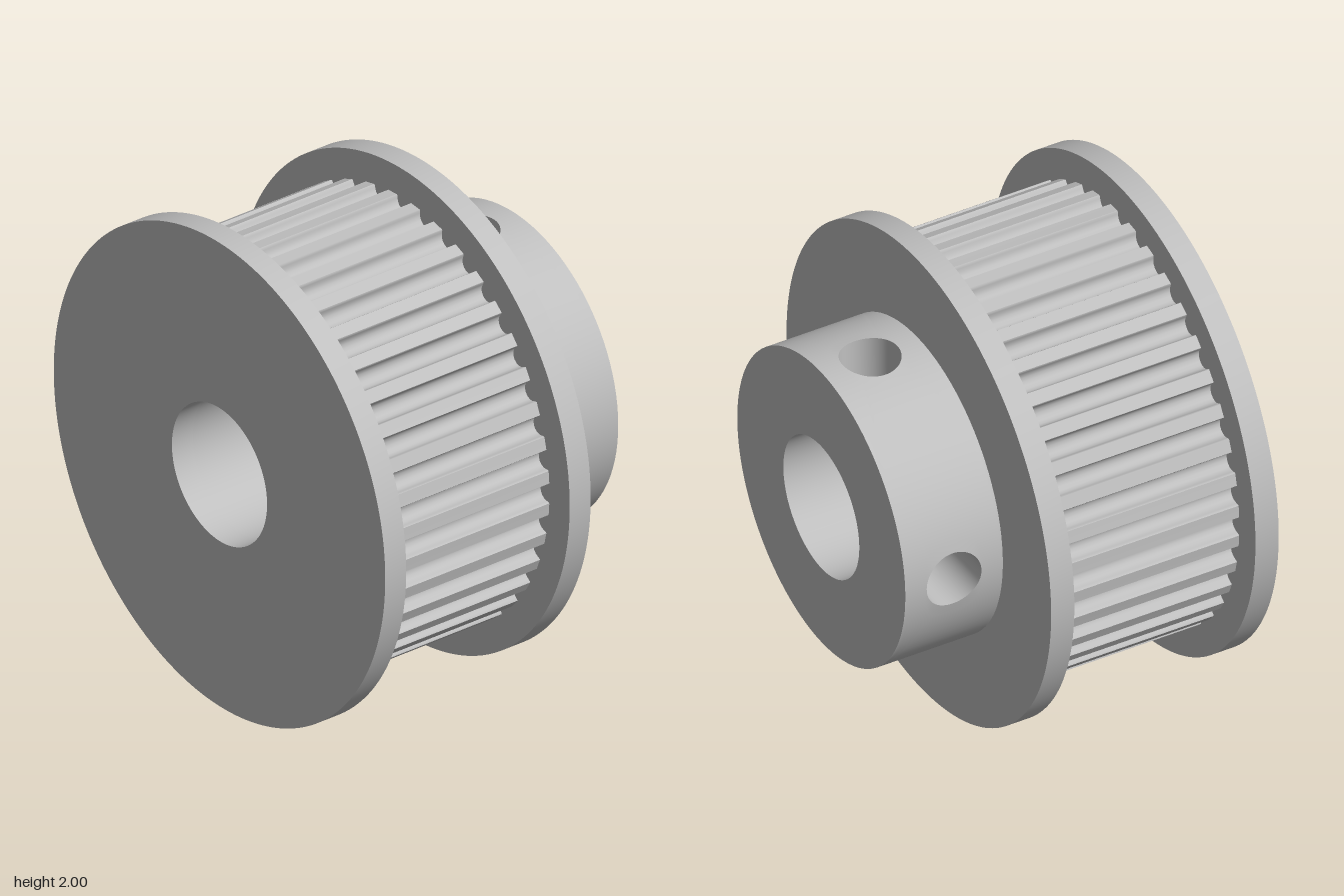
import * as THREE from 'three';
import { mergeGeometries, toCreasedNormals } from 'three/addons/utils/BufferGeometryUtils.js';

const BORE = 0.287, FLANGE = 1, HUB = 0.635, TIP = 0.877;
const HUB_MID = 0.49, HUB_HALF = 0.21, SCREW = 0.118;
const TEETH = 40, SEG = 24; // SEG = segments per quarter turn

// Scaled up while creasing so that fine tooth corners are not welded together
function crease(geometry, angle) {
  geometry.scale(100, 100, 100);
  return toCreasedNormals(geometry, angle).scale(0.01, 0.01, 0.01);
}

// Disc with the shaft bore, extruded along x from x0 to x1
function boredDisc(shape, x0, x1, angle) {
  const bore = new THREE.Path();
  bore.absarc(0, 0, BORE, 0, Math.PI * 2, true);
  shape.holes.push(bore);
  const g = new THREE.ExtrudeGeometry(shape, { depth: x1 - x0, bevelEnabled: false, curveSegments: SEG * 4 });
  g.rotateY(Math.PI / 2).translate(x0, 0, 0);
  return crease(g, angle);
}

function flangeShape() {
  const s = new THREE.Shape();
  s.absarc(0, 0, FLANGE, 0, Math.PI * 2, false);
  return s;
}

// Belt profile: narrow lands between round-bottomed grooves
function toothShape() {
  const groove = [[-0.043, TIP], [-0.0405, 0.873], [-0.039, 0.863]];
  for (let i = 1; i < 8; i++) {
    const a = Math.PI * i / 8;
    groove.push([-0.039 * Math.cos(a), 0.863 - 0.039 * Math.sin(a)]);
  }
  groove.push([0.039, 0.863], [0.0405, 0.873], [0.043, TIP], [0.0687, 0.8748]);
  const pts = [];
  for (let k = 0; k < TEETH; k++) {
    const a = k * Math.PI * 2 / TEETH, c = Math.cos(a), s = Math.sin(a);
    for (const [t, r] of groove) pts.push(new THREE.Vector2(r * c - t * s, r * s + t * c));
  }
  return new THREE.Shape(pts);
}

// Surface from a rule fn(u, v); its front is du x dv unless flipped
function grid(fn, nu, nv, flip = false) {
  const pos = [], index = [];
  for (let i = 0; i <= nu; i++)
    for (let j = 0; j <= nv; j++) pos.push(...fn(i / nu, j / nv));
  for (let i = 0; i < nu; i++)
    for (let j = 0; j < nv; j++) {
      const a = i * (nv + 1) + j, b = a + nv + 1;
      if (flip) index.push(a, b + 1, b, a, a + 1, b + 1);
      else index.push(a, b, b + 1, a, b + 1, a + 1);
    }
  const g = new THREE.BufferGeometry();
  g.setAttribute('position', new THREE.Float32BufferAttribute(pos, 3));
  g.setIndex(index);
  return g;
}

// Point around the axis: angle 0 is the top, a quarter turn is the back
const polar = (x, r, a) => [x, r * Math.cos(a), -r * Math.sin(a)];

// Walk round a square of half-size 1, starting at (1, -1)
function square(v) {
  const side = Math.min(3, Math.floor(v * 4 + 1e-9)), t = (v * 4 - side) * 2 - 1;
  return [[1, t], [-t, 1], [-1, -t], [t, -1]][side];
}

// Point on the rim of a screw hole, as [x, angle] on a cylinder of radius r
function holeRim(v, r) {
  const [sx, sa] = square(v % 1), p = Math.atan2(sa, sx);
  return [HUB_MID + SCREW * Math.cos(p), Math.asin(SCREW * Math.sin(p) / r)];
}

// Quarter of a cylinder wall pierced by a screw hole
function piercedQuarter(r, centre, flip) {
  return grid((u, v) => {
    const [hx, ha] = holeRim(v, r), [sx, sa] = square(v % 1);
    const x = hx + (HUB_MID + sx * HUB_HALF - hx) * u;
    const a = ha + (sa * Math.PI / 4 - ha) * u;
    return polar(x, r, centre + a);
  }, 8, SEG * 4, flip);
}

function hubGeometry() {
  const parts = [];
  const x0 = HUB_MID - HUB_HALF, x1 = HUB_MID + HUB_HALF;
  for (const [r, flip] of [[HUB, false], [BORE, true]]) {
    // plain half of the wall
    parts.push(grid((u, v) => polar(x0 + (x1 - x0) * u, r, Math.PI * (0.75 + v)), 1, SEG * 2, flip));
    // holes at the top and the back
    for (const c of [0, Math.PI / 2]) parts.push(piercedQuarter(r, c, flip));
  }
  // walls of the two screw holes
  for (const c of [0, Math.PI / 2])
    parts.push(grid((u, v) => {
      const [xi, ai] = holeRim(v, BORE), [, ao] = holeRim(v, HUB);
      const p = polar(xi, BORE, c + ai), q = polar(xi, HUB, c + ao);
      return p.map((n, k) => n + (q[k] - n) * u);
    }, 1, SEG * 4));
  // end face
  parts.push(grid((u, v) => polar(x1, BORE + (HUB - BORE) * u, Math.PI * (2 * v - 0.25)), 1, SEG * 4, true));
  return crease(mergeGeometries(parts), 0.6);
}

export function createModel() {
  const metal = new THREE.MeshStandardMaterial({ color: 0xc0c0c0 });
  metal.name = 'grey metal';
  const model = new THREE.Group();
  model.name = 'timingPulley';
  const add = (name, geometry) => {
    const mesh = new THREE.Mesh(geometry, metal);
    mesh.name = name;
    mesh.position.y = 1;
    model.add(mesh);
  };
  add('outerFlange', boredDisc(flangeShape(), -0.7, -0.6, 0.5));
  add('toothedBarrel', boredDisc(toothShape(), -0.6, 0.18, 0.5));
  add('hubFlange', boredDisc(flangeShape(), 0.18, 0.28, 0.5));
  add('hub', hubGeometry());
  return model;
}
